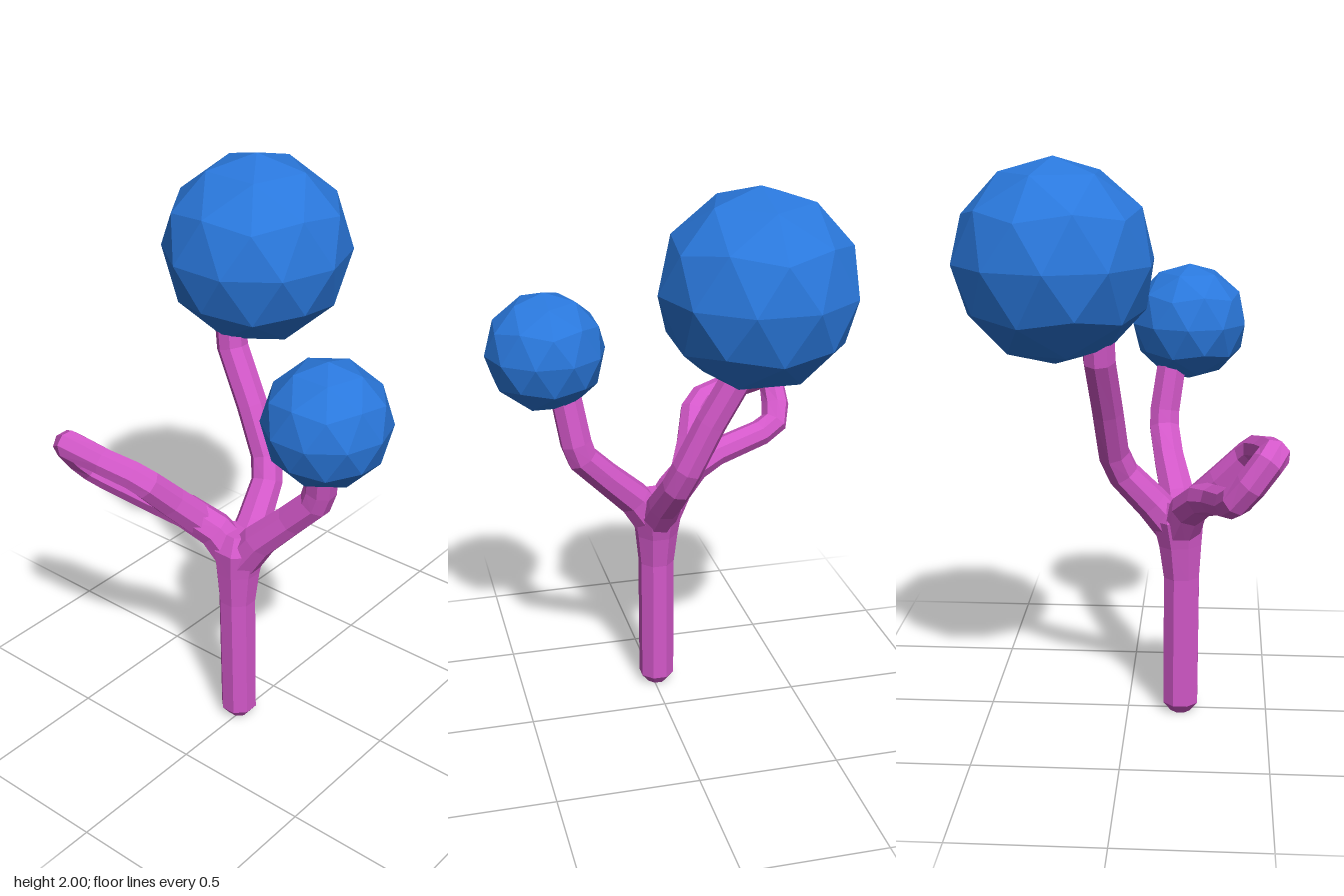
import * as THREE from 'three';

const bark = new THREE.MeshStandardMaterial({ color: 0xd358c9, flatShading: true });
const leaf = new THREE.MeshStandardMaterial({ color: 0x2a78dc, flatShading: true });
const SIDES = 8;

// Closed eight-sided limb through rows of [x, y, z, radius]
function limb(name, rows) {
  const pts = rows.map(([x, y, z]) => new THREE.Vector3(x, y, z));
  const last = pts.length - 1;
  const pos = [], idx = [];
  let normal = new THREE.Vector3(1, 0, 0);
  pts.forEach((p, i) => {
    const before = p.clone().sub(pts[Math.max(i - 1, 0)]).normalize();
    const after = pts[Math.min(i + 1, last)].clone().sub(p).normalize();
    const t = before.add(after).normalize();
    // carry the frame along the path without twisting
    normal = normal.clone().addScaledVector(t, -normal.dot(t)).normalize();
    const side = new THREE.Vector3().crossVectors(t, normal);
    for (let j = 0; j < SIDES; j++) {
      const a = ((j + 0.5) / SIDES) * Math.PI * 2;
      const v = p.clone()
        .addScaledVector(normal, Math.cos(a) * rows[i][3])
        .addScaledVector(side, Math.sin(a) * rows[i][3]);
      pos.push(v.x, v.y, v.z);
    }
  });
  for (let j = 0; j < SIDES; j++) {
    const k = (j + 1) % SIDES;
    for (let i = 0; i < last; i++) {
      const a = i * SIDES, b = a + SIDES;
      idx.push(a + j, a + k, b + j, a + k, b + k, b + j);
    }
    // end caps
    const e = last * SIDES, c = (last + 1) * SIDES;
    idx.push(c, k, j, c + 1, e + j, e + k);
  }
  pos.push(...pts[0].toArray(), ...pts[last].toArray());
  const g = new THREE.BufferGeometry();
  g.setAttribute('position', new THREE.Float32BufferAttribute(pos, 3));
  g.setIndex(idx);
  g.computeVertexNormals();
  const m = new THREE.Mesh(g, bark);
  m.name = name;
  return m;
}

// Faceted ball of leaves standing on a corner
function foliage(name, r, x, y, z) {
  const g = new THREE.IcosahedronGeometry(r, 1);
  g.rotateZ(-Math.atan(2 / (1 + Math.sqrt(5))));
  const m = new THREE.Mesh(g, leaf);
  m.name = name;
  m.position.set(x, y, z);
  return m;
}

export function createModel() {
  const tree = new THREE.Group();
  tree.name = 'tree';

  tree.add(
    // trunk, flaring into the fork
    limb('trunk', [
      [-0.19, 0.005, -0.013, 0.038], [-0.19, 0.04, -0.013, 0.066], [-0.19, 0.52, -0.013, 0.067],
      [-0.185, 0.64, -0.013, 0.08], [-0.177, 0.735, -0.012, 0.096], [-0.175, 0.8, -0.01, 0.062],
    ]),
    limb('frontBranch', [
      [-0.185, 0.68, 0.0, 0.07], [-0.17, 0.79, 0.075, 0.064], [-0.135, 0.9, 0.185, 0.057],
      [-0.115, 0.99, 0.272, 0.057], [-0.115, 1.05, 0.293, 0.057], [-0.15, 1.3, 0.335, 0.055],
    ]),
    limb('leftBranch', [
      [-0.17, 0.69, -0.01, 0.07], [-0.085, 0.79, -0.02, 0.062], [0.015, 0.9, -0.042, 0.057],
      [0.047, 0.98, -0.07, 0.057], [0.062, 1.15, -0.148, 0.056], [0.08, 1.34, -0.25, 0.056],
      [0.085, 1.48, -0.265, 0.055],
    ]),
    // rear branch that splits and closes on itself
    limb('rearBranch', [
      [-0.18, 0.69, -0.02, 0.075], [-0.215, 0.79, -0.09, 0.066], [-0.265, 0.855, -0.175, 0.062],
      [-0.305, 0.88, -0.27, 0.052], [-0.35, 0.925, -0.46, 0.05], [-0.372, 0.955, -0.52, 0.052],
      [-0.415, 1.01, -0.538, 0.052], [-0.465, 1.08, -0.536, 0.052], [-0.487, 1.1, -0.5, 0.052],
      [-0.468, 1.075, -0.36, 0.05], [-0.44, 1.05, -0.255, 0.052], [-0.41, 1.015, -0.215, 0.054],
      [-0.33, 0.925, -0.185, 0.058], [-0.25, 0.835, -0.14, 0.06],
    ]),
    foliage('largeFoliage', 0.335, 0.225, 1.665, -0.255),
    foliage('smallFoliage', 0.212, -0.2, 1.366, 0.378),
  );
  return tree;
}
